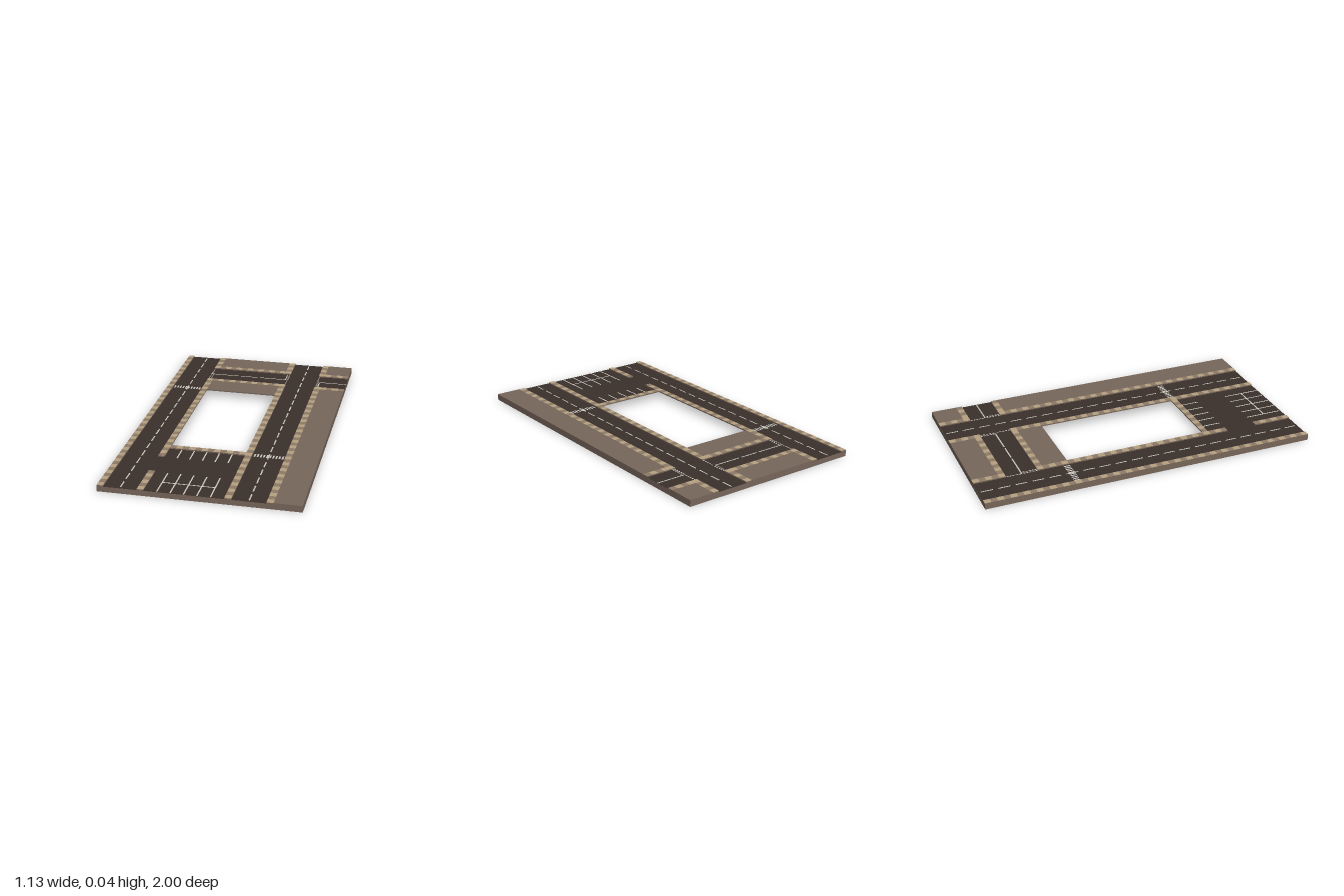
import * as THREE from 'three';
import { mergeGeometries } from 'three/addons/utils/BufferGeometryUtils.js';

const ROAD = 0.031, TOP = 0.038, TILE = 0.0375, LINE = 0.008;
// Street grid: x and z lines between road, kerb and ground
const X = { l: -0.563, a: -0.527, b: -0.338, c: -0.301, d: 0.143, e: 0.181, f: 0.37, g: 0.408, r: 0.563 };
const Z = { n: -1, a: -0.847, b: -0.81, c: -0.622, d: -0.585, e: -0.433, f: 0.428, g: 0.465, h: 0.578, i: 0.767, s: 1 };

// Flat rectangle facing up
function rect([x0, z0, x1, z1], y) {
  return new THREE.PlaneGeometry(x1 - x0, z1 - z0)
    .rotateX(-Math.PI / 2)
    .translate((x0 + x1) / 2, y, (z0 + z1) / 2);
}

function block([x0, z0, x1, z1]) {
  return new THREE.BoxGeometry(x1 - x0, TOP - ROAD, z1 - z0)
    .translate((x0 + x1) / 2, (ROAD + TOP) / 2, (z0 + z1) / 2);
}

export function createModel() {
  const group = new THREE.Group();
  const add = (name, geometries, color) => {
    const mesh = new THREE.Mesh(mergeGeometries(geometries), new THREE.MeshStandardMaterial({ color }));
    mesh.name = name;
    group.add(mesh);
  };

  // Base slab with the open rectangular plot
  const outline = (P, x0, z0, x1, z1) => new P([
    new THREE.Vector2(x0, -z0), new THREE.Vector2(x1, -z0),
    new THREE.Vector2(x1, -z1), new THREE.Vector2(x0, -z1),
  ]);
  const slab = outline(THREE.Shape, X.l, Z.n, X.r, Z.s);
  slab.holes.push(outline(THREE.Path, X.c, Z.e, X.d, Z.f));
  add('baseSlab', [new THREE.ExtrudeGeometry(slab, { depth: ROAD, bevelEnabled: false }).rotateX(-Math.PI / 2)], 0x77665a);

  // Sidewalk strips
  const walks = [
    [X.l, Z.n, X.a, Z.s],
    [X.b, Z.n, X.c, Z.b], [X.b, Z.c, X.c, Z.h], [X.b, Z.i, X.c, Z.s],
    [X.d, Z.n, X.e, Z.b], [X.d, Z.c, X.e, Z.s],
    [X.f, Z.n, X.g, Z.b], [X.f, Z.c, X.g, Z.s],
    [X.c, Z.a, X.d, Z.b], [X.c, Z.c, X.d, Z.d], [X.c, Z.f, X.d, Z.g],
    [X.g, Z.a, X.r, Z.b], [X.g, Z.c, X.r, Z.d],
  ];
  // Raised ground between the sidewalks
  const plots = [
    [X.c, Z.n, X.d, Z.a], [X.c, Z.d, X.d, Z.e],
    [X.g, Z.n, X.r, Z.a], [X.g, Z.d, X.r, Z.s],
  ];
  add('raisedGround', [...walks, ...plots].map(block), 0x77665a);

  // Paving tiles in two alternating tones
  const tiles = [[], []];
  for (const [x0, z0, x1, z1] of walks) {
    const alongX = x1 - x0 > z1 - z0;
    const length = alongX ? x1 - x0 : z1 - z0;
    const n = Math.max(1, Math.round(length / TILE)), step = length / n;
    const first = Math.round((alongX ? x0 - X.l : z0 - Z.n) / TILE);
    for (let i = 0; i < n; i++) {
      const p = i * step, q = p + step;
      const r = alongX ? [x0 + p, z0, x0 + q, z1] : [x0, z0 + p, x1, z0 + q];
      tiles[(first + i) % 2].push(rect(r, TOP + 0.0004));
    }
  }
  add('lightPaving', tiles[0], 0xb5a080);
  add('darkPaving', tiles[1], 0x8e7b69);

  // Asphalt: two long streets, the cross street and the parking lot
  const roads = [
    [X.a, Z.n, X.b, Z.s], [X.e, Z.n, X.f, Z.s],
    [X.b, Z.b, X.e, Z.c], [X.f, Z.b, X.r, Z.c],
    [X.c, Z.g, X.d, Z.s], [X.b, Z.h, X.c, Z.i],
  ];
  add('asphalt', roads.map(r => rect(r, ROAD + 0.0004)), 0x3a302b);

  // White road markings
  const marks = [];
  const mark = (x0, z0, x1, z1) => marks.push(rect([x0, z0, x1, z1], ROAD + 0.001));
  const lineX = (z, x0, x1) => mark(x0, z - LINE / 2, x1, z + LINE / 2);
  const lineZ = (x, z0, z1) => mark(x - LINE / 2, z0, x + LINE / 2, z1);

  // Dashed centre lines
  for (const x of [-0.433, 0.275])
    for (let i = 0; i < 20; i++) lineZ(x, -0.985 + i * 0.1, -0.915 + i * 0.1);
  for (const [x0, x1] of [[-0.338, -0.155], [-0.138, -0.025], [-0.01, 0.165], [0.375, X.r]])
    lineX(-0.716, x0, x1);

  // Zebra crossings
  for (const [x, z] of [[-0.52, -0.47], [0.19, 0.428]])
    for (let i = 0; i < 10; i++) mark(x + i * 0.018, z, x + i * 0.018 + 0.01, z + 0.037);

  // Dotted give-way lines at the junctions
  const dots = (x, z0) => {
    for (let i = 0; i < 5; i++) lineZ(x, z0 + i * 0.018, z0 + i * 0.018 + 0.012);
  };
  for (const x of [-0.334, 0.162, 0.175, 0.375]) dots(x, -0.806);
  for (const x of [-0.334, -0.32, 0.175, 0.375, 0.388]) dots(x, -0.706);

  // Parking bays
  for (let i = 0; i < 5; i++) {
    const x = -0.228 + i * 0.0738;
    lineZ(x, Z.g, Z.h);
    lineZ(x, Z.i, 0.995);
  }
  lineX(0.883, -0.228, 0.067);
  add('roadMarkings', marks, 0xc9c5bd);

  return group;
}
